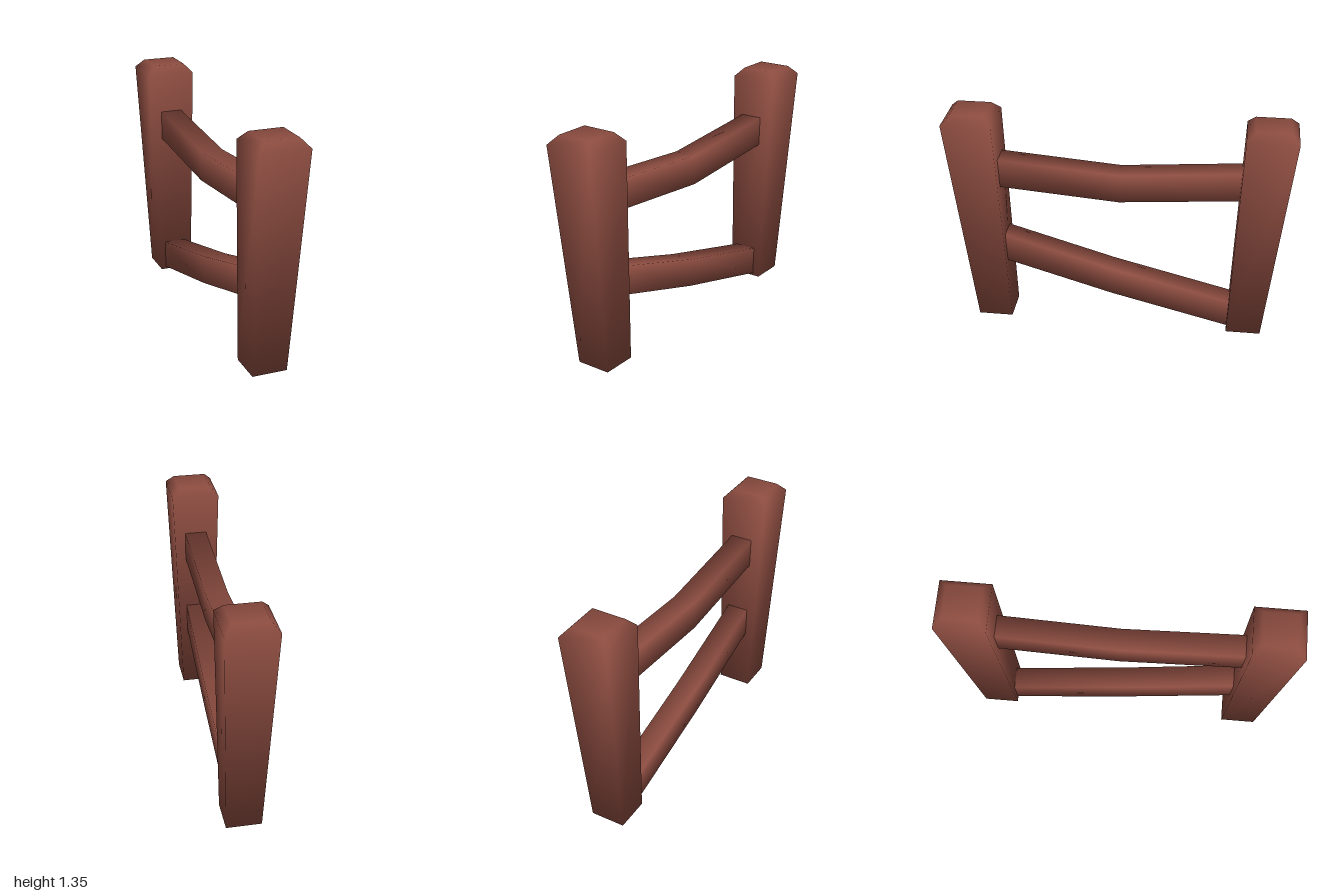
import * as THREE from 'three';

const wood = new THREE.MeshStandardMaterial({ color: 0x8c4c40 });
wood.name = 'reddish brown wood';

// Closed four-sided loft with softly shared normals (each face counts equally)
function loft(sections, name) {
  const points = sections.flat().map((p) => new THREE.Vector3(...p));
  const normals = points.map(() => new THREE.Vector3());
  const index = [];
  const quad = (a, b, c, d) => {
    index.push(a, b, c, a, c, d);
    const n = points[c].clone().sub(points[a]).cross(points[d].clone().sub(points[b])).normalize();
    for (const i of [a, b, c, d]) normals[i].add(n);
  };
  for (let s = 0; s < sections.length - 1; s++) {
    for (let i = 0; i < 4; i++) {
      const j = (i + 1) % 4, a = s * 4, b = a + 4;
      quad(a + i, a + j, b + j, b + i);
    }
  }
  const e = points.length - 4;
  quad(3, 2, 1, 0);
  quad(e, e + 1, e + 2, e + 3);

  const geometry = new THREE.BufferGeometry().setFromPoints(points);
  const flat = normals.flatMap((n) => n.normalize().toArray());
  geometry.setAttribute('normal', new THREE.Float32BufferAttribute(flat, 3));
  geometry.setIndex(index);
  const mesh = new THREE.Mesh(geometry, wood);
  mesh.name = name;
  return mesh;
}

// Leaning post, wider at the top, with a bevelled crown
function post(name) {
  const levels = [ // y, half width, inner z, outer z
    [0, 0.102, 0.66, 0.865],
    [1.3, 0.143, 0.71, 1.0],
    [1.35, 0.098, 0.755, 0.952],
  ];
  const cx = -0.005;
  return loft(levels.map(([y, w, z0, z1]) => [
    [cx + w, y, z1], [cx + w, y, z0], [cx - w, y, z0], [cx - w, y, z1],
  ]), name);
}

// Bent rail running from the front post to the back post
function rail(path, name) {
  const x0 = -0.068, x1 = 0.064, h = 0.087;
  return loft(path.map(([z, y]) => [
    [x0, y - h, z], [x0, y + h, z], [x1, y + h, z], [x1, y - h, z],
  ]), name);
}

export function createModel() {
  const group = new THREE.Group();
  group.name = 'fence';

  const backPost = post('backPost');
  backPost.rotation.y = Math.PI;
  group.add(post('frontPost'), backPost);

  group.add(
    rail([[0.73, 0.98], [0, 0.922], [-0.73, 0.98]], 'upperRail'),
    rail([[0.72, 0.487], [0.04, 0.282], [-0.71, 0.09]], 'lowerRail'),
  );
  return group;
}
